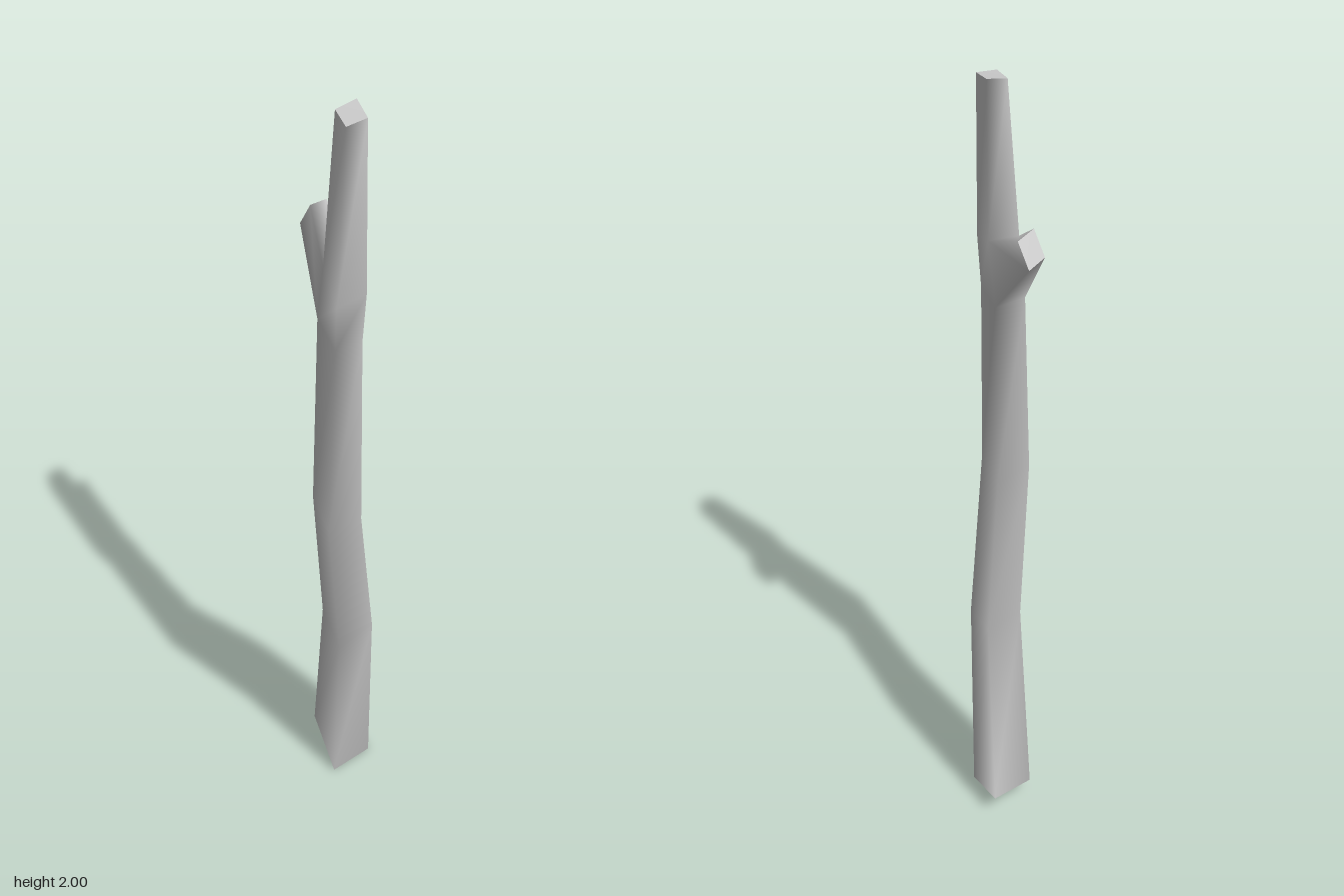
import * as THREE from 'three';

// Four-sided sections of the main stem, bottom to top; corners: left, front, right, back
const stem = [
  [[-0.065, 0.055, -0.1], [-0.02, 0, 0.06], [0.082, 0, -0.015], [0.035, 0.06, -0.173]],
  [[-0.045, 0.55, 0], [-0.01, 0.53, 0.127], [0.082, 0.53, 0.045], [0.045, 0.56, -0.083]],
  [[-0.07, 0.97, 0.05], [-0.04, 0.965, 0.185], [0.043, 0.96, 0.135], [0.013, 0.95, 0.005]],
  [[-0.053, 1.46, 0.01], [-0.02, 1.45, 0.137], [0.045, 1.45, 0.1], [0.02, 1.45, -0.02]],
  [[-0.04, 1.61, 0.03], [-0.018, 1.57, 0.148], [0.053, 1.58, 0.108], [0.035, 1.615, -0.005]],
  [[-0.012, 1.99, 0.022], [0.006, 1.985, 0.098], [0.055, 1.99, 0.068], [0.037, 2, -0.008]],
];
// End of the side twig, in the order of the opening it grows from
const twigTip = [[-0.043, 1.62, -0.187], [-0.083, 1.63, -0.14], [-0.06, 1.69, -0.115], [-0.02, 1.68, -0.16]];
const FORK = 3; // segment whose back face opens into the twig

function makeMesh(name, points, index, material) {
  const geometry = new THREE.BufferGeometry();
  geometry.setAttribute('position', new THREE.Float32BufferAttribute(points.flat(), 3));
  geometry.setIndex(index);
  geometry.computeVertexNormals();
  const mesh = new THREE.Mesh(geometry, material);
  mesh.name = name;
  return mesh;
}

export function createModel() {
  const group = new THREE.Group();
  group.name = 'branch';
  const material = new THREE.MeshStandardMaterial({ color: 0xcccccc });

  // Bark: stem and twig share vertices, so shading flows through the fork
  const points = [...stem.flat(), ...twigTip];
  const index = [];
  const quad = (a, b, c, d) => index.push(a, b, c, a, c, d);
  for (let s = 0; s < stem.length - 1; s++) {
    for (let i = 0; i < 4; i++) {
      if (s === FORK && i === 3) continue;
      const a = s * 4 + i, b = s * 4 + (i + 1) % 4;
      quad(a, b, b + 4, a + 4);
    }
  }
  const low = FORK * 4, high = low + 4, tip = stem.length * 4;
  const opening = [low + 3, low, high, high + 3];
  for (let i = 0; i < 4; i++) {
    const j = (i + 1) % 4;
    quad(opening[i], opening[j], tip + j, tip + i);
  }
  group.add(makeMesh('bark', points, index, material));

  // Flat cut ends with sharp rims
  const ends = {
    baseCut: [...stem[0]].reverse(),
    topCut: stem[stem.length - 1],
    twigCut: twigTip,
  };
  for (const [name, corners] of Object.entries(ends)) {
    group.add(makeMesh(name, corners, [0, 1, 2, 0, 2, 3], material));
  }
  return group;
}
